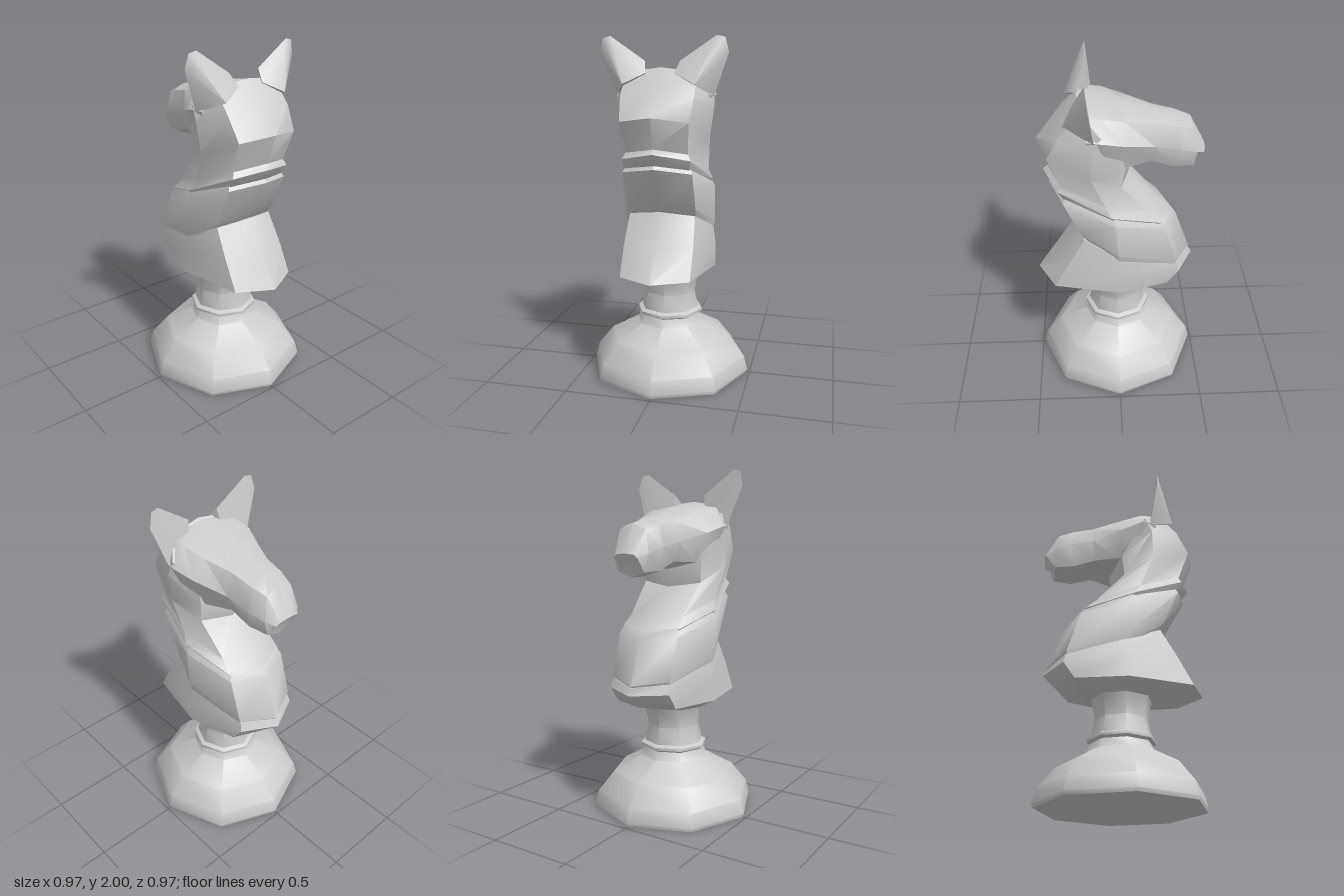
import * as THREE from 'three';
import { toCreasedNormals } from 'three/addons/utils/BufferGeometryUtils.js';
import { ConvexGeometry } from 'three/addons/geometries/ConvexGeometry.js';

const material = new THREE.MeshStandardMaterial({ color: 0xcccccc });

function part(name, geometry, crease = 0.8) {
  const mesh = new THREE.Mesh(toCreasedNormals(geometry, crease), material);
  mesh.name = name;
  return mesh;
}

// Mirrored eight-sided ring: first, side and last points are [z, y], w is the half width.
function ring(first, side, last, w, t = 0.22) {
  const mix = (p, x) => [x, p[1] + (side[1] - p[1]) * t, p[0] + (side[0] - p[0]) * t];
  const half = [mix(first, w * 0.72), [w, side[1], side[0]], mix(last, w * 0.72)];
  const mirrored = half.map(([x, y, z]) => [-x, y, z]).reverse();
  return [[0, first[1], first[0]], ...half, [0, last[1], last[0]], ...mirrored];
}

// Skin over a stack of rings, closed at both ends.
function loft(rings) {
  const n = rings[0].length;
  const index = [];
  for (let i = 0; i < rings.length - 1; i++) {
    for (let j = 0; j < n; j++) {
      const a = i * n + j, b = i * n + (j + 1) % n;
      index.push(a, b, b + n, a, b + n, a + n);
    }
  }
  const top = (rings.length - 1) * n;
  for (let j = 1; j < n - 1; j++) {
    index.push(0, j + 1, j, top, top + j, top + j + 1);
  }
  const geometry = new THREE.BufferGeometry();
  geometry.setAttribute('position', new THREE.Float32BufferAttribute(rings.flat(2), 3));
  geometry.setIndex(index);
  return geometry;
}

export function createModel() {
  const group = new THREE.Group();

  // Turned foot, collar and stem
  const profile = [
    [0, 0], [0.48, 0], [0.486, 0.02], [0.465, 0.1], [0.375, 0.21], [0.365, 0.22],
    [0.2, 0.31], [0.18, 0.36], [0.2, 0.372], [0.2, 0.388], [0.175, 0.4],
    [0.155, 0.5], [0.172, 0.6], [0.185, 0.63], [0, 0.63],
  ].map(([r, y]) => new THREE.Vector2(r, y));
  group.add(part('base', new THREE.LatheGeometry(profile, 8)));

  // Lower band of the body, flared at the mane side
  group.add(part('lowerBody', loft([
    ring([0.185, 0.62], [0, 0.62], [-0.185, 0.62], 0.185, 0.29),
    ring([0.485, 0.67], [0, 0.67], [-0.375, 0.67], 0.28),
    ring([0.37, 0.85], [0, 0.8], [-0.46, 0.75], 0.28),
    ring([0.25, 1.03], [0, 0.91], [-0.44, 0.79], 0.265),
  ])));

  // Slanted middle band
  group.add(part('middleBody', loft([
    ring([0.2, 1.0], [0, 0.87], [-0.42, 0.77], 0.26),
    ring([0.27, 1.07], [0, 0.94], [-0.44, 0.8], 0.275),
    ring([0.39, 1.29], [0.02, 1.15], [-0.35, 1.05], 0.275),
    ring([0.36, 1.33], [0.02, 1.21], [-0.32, 1.09], 0.245),
  ])));

  // Upper neck and back of the skull
  group.add(part('neck', loft([
    ring([0.37, 1.3], [0.03, 1.17], [-0.3, 1.07], 0.25),
    ring([0.42, 1.375], [0.04, 1.2], [-0.325, 1.085], 0.265),
    ring([0.39, 1.4], [0.07, 1.26], [-0.25, 1.15], 0.245),
    ring([0.45, 1.57], [0.15, 1.45], [-0.06, 1.33], 0.265),
    ring([0.36, 1.69], [0.14, 1.62], [-0.08, 1.43], 0.285),
    ring([0.22, 1.83], [0.1, 1.71], [-0.05, 1.6], 0.28),
  ])));

  // Face tapering to the muzzle
  group.add(part('head', loft([
    ring([0.2, 1.825], [0.17, 1.68], [0.15, 1.42], 0.27),
    ring([0.085, 1.805], [0.085, 1.68], [0.06, 1.42], 0.29),
    ring([-0.03, 1.78], [-0.03, 1.64], [-0.06, 1.43], 0.245),
    ring([-0.2, 1.74], [-0.2, 1.59], [-0.18, 1.45], 0.165),
    ring([-0.31, 1.715], [-0.34, 1.56], [-0.3, 1.4], 0.152),
    ring([-0.4, 1.69], [-0.43, 1.53], [-0.42, 1.4], 0.12),
    ring([-0.485, 1.53], [-0.475, 1.505], [-0.44, 1.48], 0.08),
  ])));

  // Pair of pointed ears
  for (const side of [1, -1]) {
    const points = [
      [0.1, 1.865, 0.18], [0.12, 1.75, 0.155], [0.27, 1.74, 0.15], [0.28, 1.67, 0.13],
      [0.2, 1.74, 0.29], [0.08, 1.8, 0.24],
      [0.3, 2.0, 0.172], [0.345, 1.99, 0.168], [0.365, 1.91, 0.16],
    ].map(([x, y, z]) => new THREE.Vector3(side * x, y, z));
    group.add(part(side > 0 ? 'leftEar' : 'rightEar', new ConvexGeometry(points)));
  }

  return group;
}
